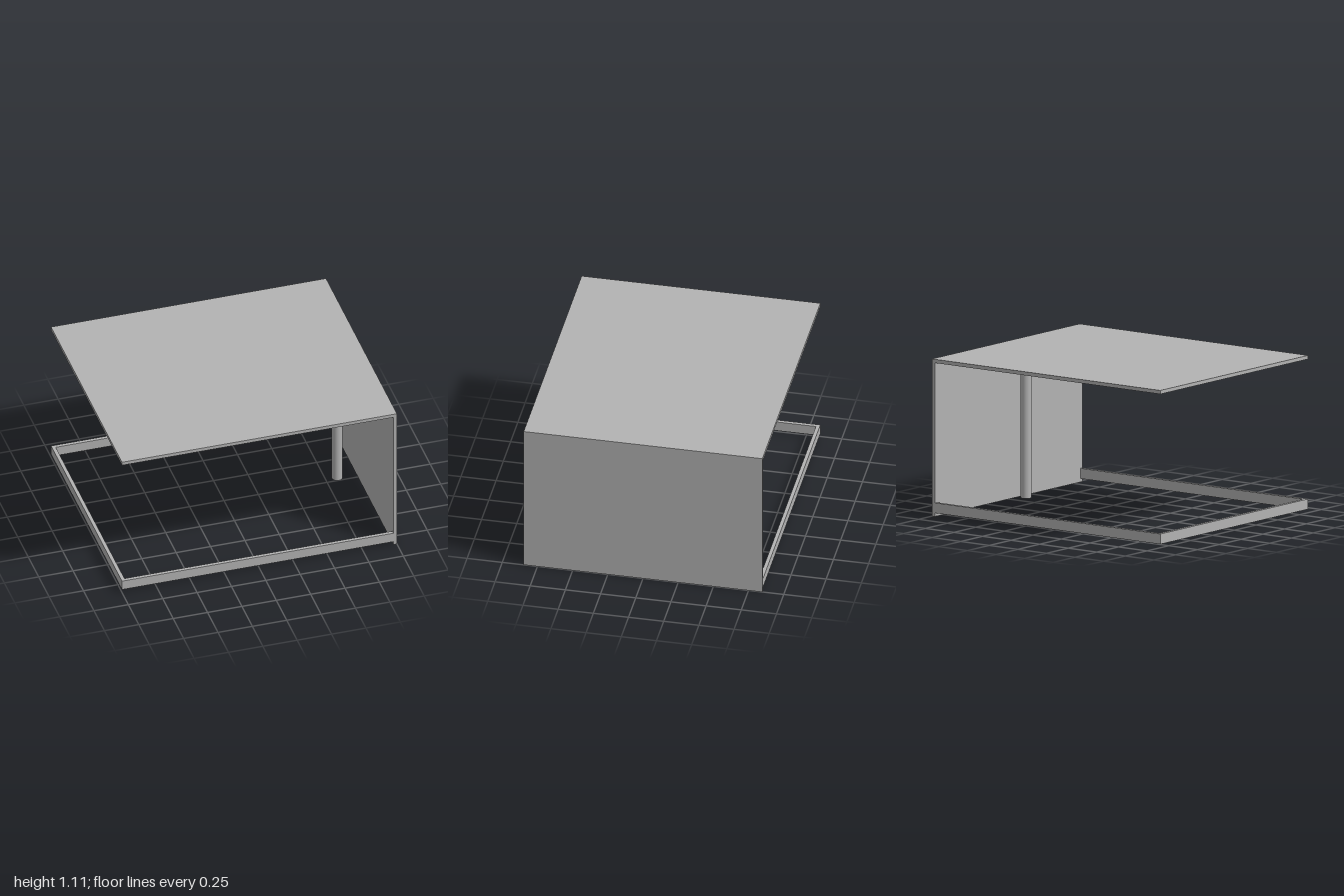
import * as THREE from 'three';

const HALF_X = 1, HALF_Z = 0.848, TOP = 1.113, THICK = 0.026;

export function createModel() {
  const model = new THREE.Group();
  const grey = new THREE.MeshStandardMaterial({ color: 0xb3b3b3 });
  grey.name = 'grey';

  // Box given by its minimum and maximum corners
  const addBox = (name, min, max) => {
    const size = max.map((v, i) => v - min[i]);
    const mesh = new THREE.Mesh(new THREE.BoxGeometry(...size), grey);
    mesh.position.set(...max.map((v, i) => (v + min[i]) / 2));
    mesh.name = name;
    model.add(mesh);
  };

  const wallX = HALF_X - THICK;

  // Top panel and the single side wall
  addBox('topPanel', [-HALF_X, TOP - THICK, -HALF_Z], [HALF_X, TOP, HALF_Z]);
  addBox('sideWall', [wallX, 0, -HALF_Z], [HALF_X, TOP - THICK, HALF_Z]);

  // Base frame: three rails closed by the wall
  const railLow = 0.025, railHigh = 0.097;
  addBox('frontRail', [-HALF_X, railLow, HALF_Z - THICK], [wallX, railHigh, HALF_Z]);
  addBox('backRail', [-HALF_X, railLow, -HALF_Z], [wallX, railHigh, -HALF_Z + THICK]);
  addBox('endRail', [-HALF_X, railLow, -HALF_Z + THICK], [-HALF_X + THICK, railHigh, HALF_Z - THICK]);

  // Hollow post beside the wall
  const outer = 0.038, inner = 0.021, low = 0.027, high = 1.075;
  const ring = new THREE.Shape().absarc(0, 0, outer, 0, Math.PI * 2, false);
  ring.holes.push(new THREE.Path().absarc(0, 0, inner, 0, Math.PI * 2, true));
  const tube = new THREE.ExtrudeGeometry(ring, { depth: high - low, bevelEnabled: false, curveSegments: 32 });
  tube.rotateX(-Math.PI / 2);
  const post = new THREE.Mesh(tube, grey);
  post.position.set(0.823, low, 0);
  post.name = 'post';
  model.add(post);

  return model;
}
